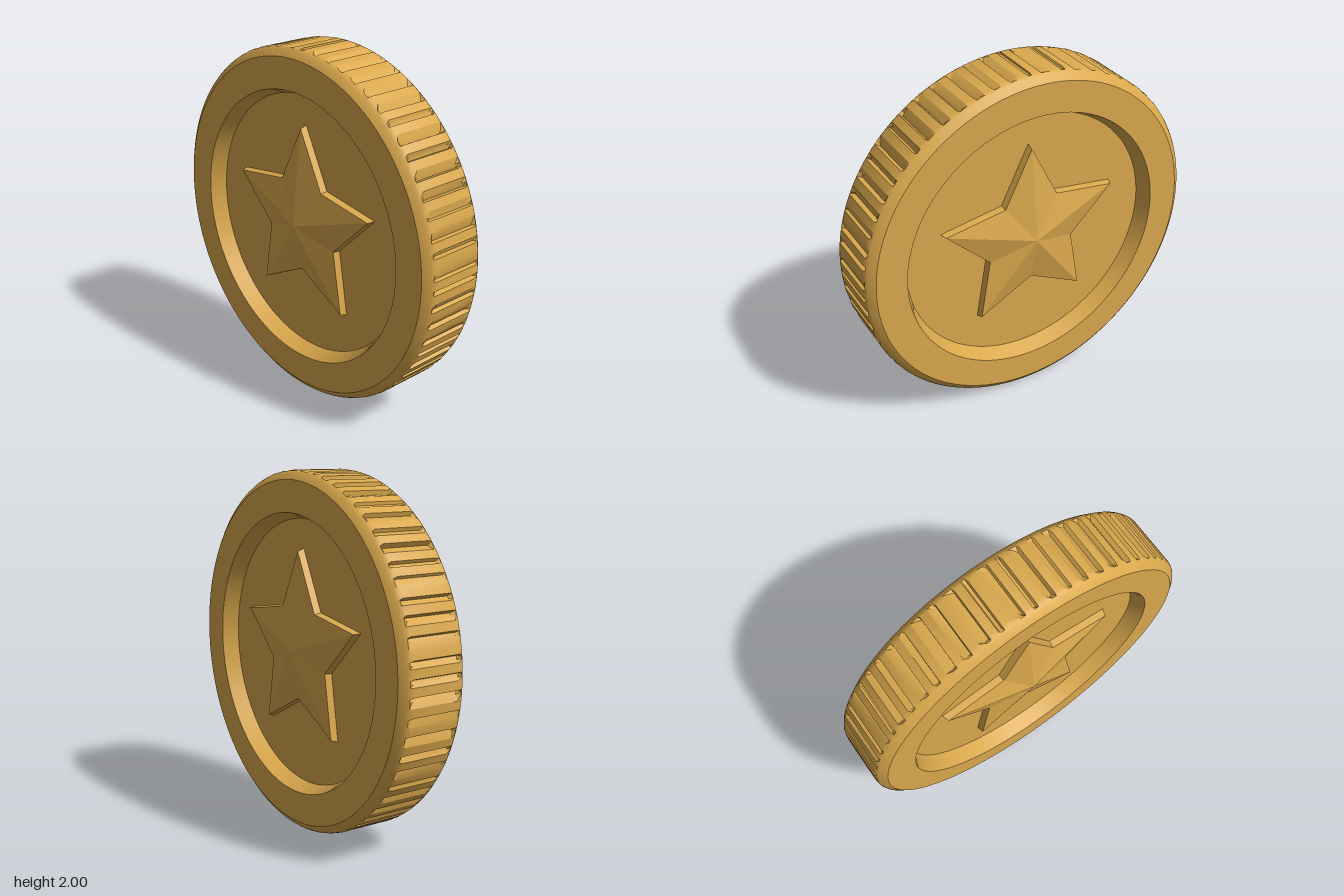
import * as THREE from 'three';
import { toCreasedNormals } from 'three/addons/utils/BufferGeometryUtils.js';

const gold = new THREE.MeshStandardMaterial({ color: 0xdba94d });
gold.name = 'gold';

const CENTER_Y = 1;
const GROOVES = 64;

// Small seeded generator for the hand-cut look of the grooves
function seeded(seed) {
  return () => {
    seed = (seed * 16807) % 2147483647;
    return seed / 2147483647;
  };
}

// Joins rings of points (inner to outer, counter-clockwise) into a surface
function loft(rings) {
  const n = rings[0].length;
  const index = [];
  for (let i = 0; i < rings.length - 1; i++) {
    for (let j = 0; j < n; j++) {
      const k = (j + 1) % n;
      const a = i * n + j, b = (i + 1) * n + j, c = (i + 1) * n + k, d = i * n + k;
      index.push(a, b, c, a, c, d);
    }
  }
  const g = new THREE.BufferGeometry();
  g.setAttribute('position', new THREE.Float32BufferAttribute(rings.flat(2), 3));
  g.setIndex(index);
  return g;
}

// Coin disc: recessed faces, raised rims, bevelled edge with cut grooves
function coinGeometry() {
  const rand = seeded(17);
  const columns = [];
  for (let i = 0; i < GROOVES; i++) {
    const shift = (rand() - 0.5) * 0.25;
    const depth = 0.014 + rand() * 0.016;
    const cuts = [[0, 0], [0.5, 0], [0.58, depth], [0.76, depth * 0.6]];
    for (const [f, d] of cuts) {
      const angle = ((i + f + shift) / GROOVES) * Math.PI * 2;
      columns.push({ angle, d, trim: rand() * 0.02 });
    }
  }
  // radius, z, whether the grooves cut this ring
  const half = [
    [0, 0.11, 0], [0.74, 0.11, 0], [0.775, 0.2, 0], [0.95, 0.2, 0],
    [0.985, 0.175, 0], [0.995, 0.16, 0], [1, 0.15, 1],
  ];
  const profile = [...half, ...half.map(([r, z, cut]) => [r, -z, cut]).reverse()];
  const rings = profile.map(([r, z, cut]) => columns.map(({ angle, d, trim }) => {
    const radius = r - cut * d;
    const depthZ = z - cut * Math.sign(z) * trim;
    return [Math.cos(angle) * radius, Math.sin(angle) * radius, depthZ];
  }));
  return toCreasedNormals(loft(rings), 0.45);
}

// Faceted star: short sloping side wall, then a pyramid up to the middle
function starGeometry() {
  const ring = (scale, z) => Array.from({ length: 10 }, (_, i) => {
    const a = Math.PI / 2 + (i * Math.PI) / 5;
    const r = (i % 2 ? 0.283 : 0.562) * scale;
    return [Math.cos(a) * r, Math.sin(a) * r, z];
  });
  const g = loft([ring(0, 0.212), ring(0.97, 0.15), ring(1, 0.1)]).toNonIndexed();
  g.computeVertexNormals();
  return g;
}

export function createModel() {
  const model = new THREE.Group();
  model.name = 'starCoin';

  const coin = new THREE.Mesh(coinGeometry(), gold);
  coin.name = 'coinDisc';
  coin.position.y = CENTER_Y;
  model.add(coin);

  // One star on each face
  const star = starGeometry();
  for (const [name, turn] of [['frontStar', 0], ['backStar', Math.PI]]) {
    const mesh = new THREE.Mesh(star, gold);
    mesh.name = name;
    mesh.position.y = CENTER_Y + 0.02;
    mesh.rotation.y = turn;
    model.add(mesh);
  }
  return model;
}
